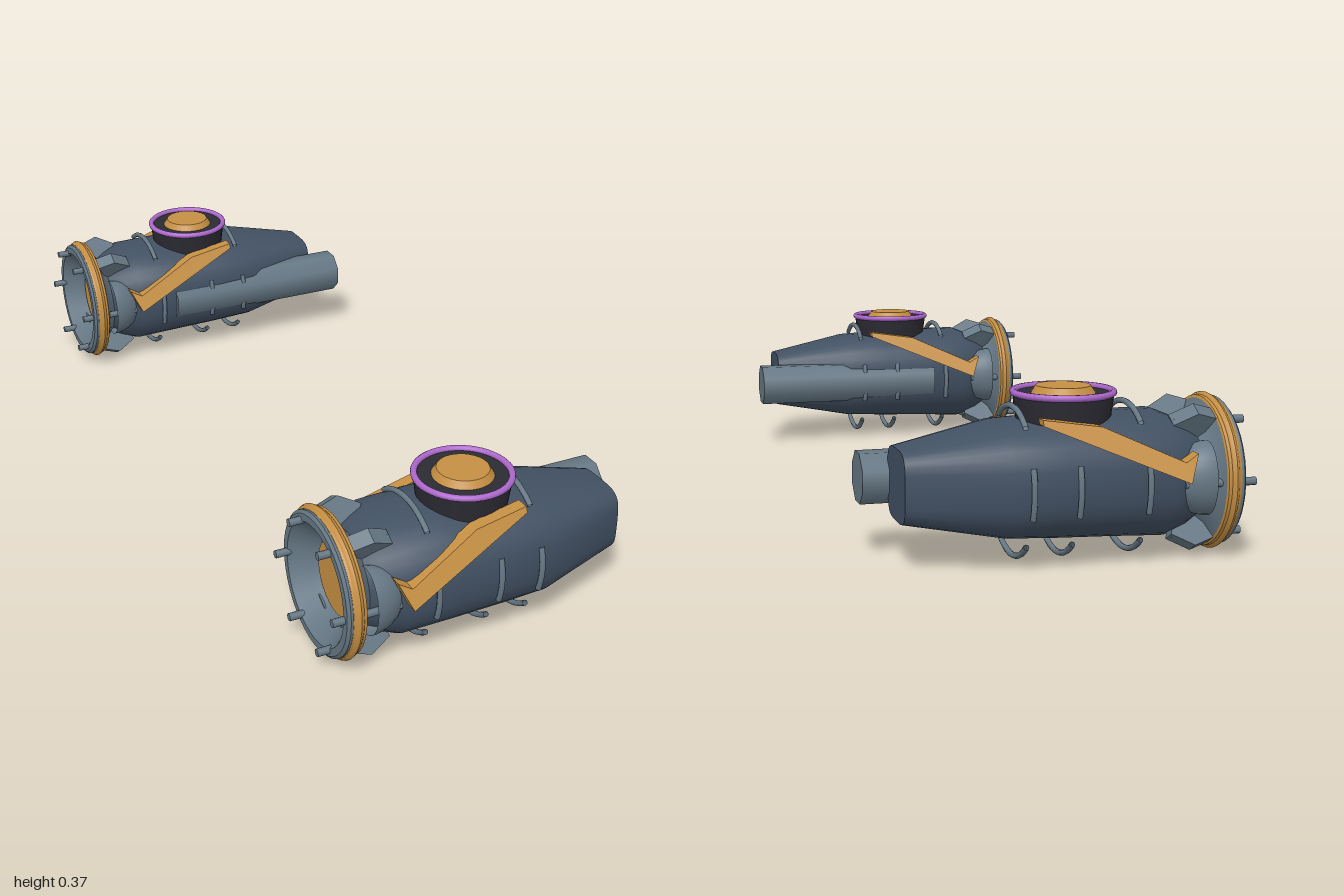
import * as THREE from 'three';
import { toCreasedNormals } from 'three/addons/utils/BufferGeometryUtils.js';

const paint = (name, color) => new THREE.MeshStandardMaterial({ name, color, side: THREE.DoubleSide });
const AXIS_Y = 0.173;

// Closed hull lofted from rounded-square sections: [x, centreY, halfY, halfZ, exponent]
function loft(sections, n = 32) {
  const pos = [], index = [];
  for (const [x, cy, hy, hz, e] of sections) {
    for (let i = 0; i < n; i++) {
      const a = (i / n) * Math.PI * 2, c = Math.cos(a), s = Math.sin(a);
      pos.push(x, cy + hy * Math.sign(c) * Math.abs(c) ** (2 / e), hz * Math.sign(s) * Math.abs(s) ** (2 / e));
    }
  }
  const last = sections.length - 1;
  for (let j = 0; j < last; j++) {
    for (let i = 0; i < n; i++) {
      const a = j * n + i, b = j * n + (i + 1) % n;
      index.push(a, b, a + n, b, b + n, a + n);
    }
  }
  for (const j of [0, last]) {
    const centre = pos.length / 3;
    pos.push(sections[j][0], sections[j][1], 0);
    for (let i = 0; i < n; i++) {
      const a = j * n + i, b = j * n + (i + 1) % n;
      index.push(centre, ...(j ? [a, b] : [b, a]));
    }
  }
  const g = new THREE.BufferGeometry();
  g.setAttribute('position', new THREE.Float32BufferAttribute(pos, 3));
  g.setIndex(index);
  g.computeVertexNormals();
  return toCreasedNormals(g, 0.6);
}

// Profile of [x, radius] points turned around the pod's long axis
function turned(points, segments = 40) {
  const g = new THREE.LatheGeometry(points.map(([x, r]) => new THREE.Vector2(r, -x)), segments);
  return toCreasedNormals(g.rotateZ(Math.PI / 2), 0.5);
}

function rod(x0, x1, r, sides) {
  return new THREE.CylinderGeometry(r, r, x1 - x0, sides).rotateZ(Math.PI / 2).translate((x0 + x1) / 2, 0, 0);
}

function polygon(points) {
  return new THREE.Shape(points.map(([x, y]) => new THREE.Vector2(x, y)));
}

function createPod(mat) {
  const pod = new THREE.Group();
  const add = (name, geometry, material, x = 0, y = 0, z = 0) => {
    const mesh = new THREE.Mesh(geometry, material);
    mesh.name = name;
    mesh.position.set(x, y, z);
    pod.add(mesh);
    return mesh;
  };

  // Main hull
  add('hull', loft([
    [-0.305, 0.175, 0.10, 0.105, 2.2], [-0.27, 0.176, 0.118, 0.13, 2.3], [-0.22, 0.178, 0.136, 0.152, 2.4],
    [-0.10, 0.181, 0.132, 0.157, 2.5], [0.02, 0.181, 0.127, 0.156, 2.6], [0.13, 0.181, 0.12, 0.152, 2.8],
    [0.342, 0.177, 0.077, 0.08, 4],
  ]), mat.hull);

  // Intake flange, its gold band and the inner disc
  add('intakeFlange', turned([
    [-0.285, 0.10], [-0.312, 0.125], [-0.328, 0.158], [-0.366, 0.162], [-0.372, 0.155], [-0.372, 0.138],
    [-0.355, 0.125], [-0.335, 0.108], [-0.315, 0.092], [-0.31, 0.07],
  ]), mat.grey, 0, AXIS_Y);
  add('intakeBand', turned([
    [-0.327, 0.155], [-0.33, 0.164], [-0.337, 0.165], [-0.34, 0.168], [-0.346, 0.171], [-0.352, 0.168],
    [-0.355, 0.164], [-0.36, 0.162], [-0.362, 0.155],
  ]), mat.gold, 0, AXIS_Y);
  add('intakeDisc', rod(-0.322, -0.30, 0.085, 32), mat.gold, 0, AXIS_Y);

  // Pins and wedge braces around the flange
  for (let i = 0; i < 6; i++) {
    const a = (i / 6) * Math.PI * 2;
    add('intakePin', rod(-0.40, -0.24, 0.009, 8), mat.grey, 0, AXIS_Y + 0.14 * Math.sin(a), 0.14 * Math.cos(a));
    if (i % 3 === 0) continue;
    const brace = new THREE.ExtrudeGeometry(
      polygon([[-0.33, 0.158], [-0.285, 0.173], [-0.235, 0.145], [-0.25, 0.10], [-0.33, 0.10]]),
      { depth: 0.036, bevelEnabled: false }).translate(0, 0, -0.018);
    add('flangeBrace', brace, mat.grey, 0, AXIS_Y).rotation.x = Math.PI / 2 - a;
  }

  for (const side of [-1, 1]) {
    // Domed cheek behind the flange
    const cheek = new THREE.SphereGeometry(1, 20, 14, Math.PI / 2, Math.PI).scale(0.085, 0.08, 0.06);
    add('cheek', cheek, mat.grey, -0.305, 0.178, side * 0.105);

    // Slanted gold blade, leaning in towards the top
    const blade = new THREE.ExtrudeGeometry(
      polygon([[-0.26, 0.242], [-0.235, 0.185], [0.065, 0.308], [0.065, 0.32], [-0.06, 0.302], [-0.23, 0.226]]),
      { depth: 0.03, bevelEnabled: false });
    const p = blade.attributes.position;
    for (let i = 0; i < p.count; i++) p.setZ(i, p.getZ(i) + 0.158 - 0.5 * (p.getY(i) - 0.19));
    blade.computeVertexNormals();
    add('sideBlade', blade, mat.gold).scale.z = side;
  }

  // Curved ribs: below, on both sides and, clear of the turret, on top
  const rib = (x, angle, half) => add('rib', new THREE.TorusGeometry(0.159, 0.0065, 8, 16, half * 2)
    .rotateZ(angle - half).rotateY(Math.PI / 2), mat.grey, x, AXIS_Y);
  for (const x of [-0.158, -0.007, 0.093]) {
    rib(x, -Math.PI / 2, 0.72);
    rib(x, 0, 0.34);
    rib(x, Math.PI, 0.34);
    if (x !== -0.007) rib(x, Math.PI / 2, 0.65);
  }

  // Top turret
  add('turretBase', new THREE.CylinderGeometry(0.108, 0.098, 0.076, 40), mat.black, -0.02, 0.318);
  add('turretRing', new THREE.TorusGeometry(0.106, 0.0075, 10, 48).rotateX(Math.PI / 2), mat.purple, -0.02, 0.358);
  add('turretCap', new THREE.CylinderGeometry(0.058, 0.07, 0.018, 32), mat.gold, -0.02, 0.363);

  // Octagonal barrel on the inner side
  add('barrel', rod(-0.12, 0.40, 0.059, 8).rotateX(Math.PI / 8), mat.grey, 0, AXIS_Y, -0.115);
  return pod;
}

export function createModel() {
  const mat = {
    hull: paint('slateHull', 0x425163),
    grey: paint('steelGrey', 0x667885),
    gold: paint('gold', 0xc58f43),
    purple: paint('purple', 0xad68cc),
    black: paint('nearBlack', 0x2b2b33),
  };
  const model = new THREE.Group();
  model.name = 'enginePods';
  for (const side of [1, -1]) {
    const pod = createPod(mat);
    pod.name = side > 0 ? 'frontPod' : 'rearPod';
    pod.position.z = side * 0.81;
    pod.scale.z = side;
    model.add(pod);
  }
  return model;
}
